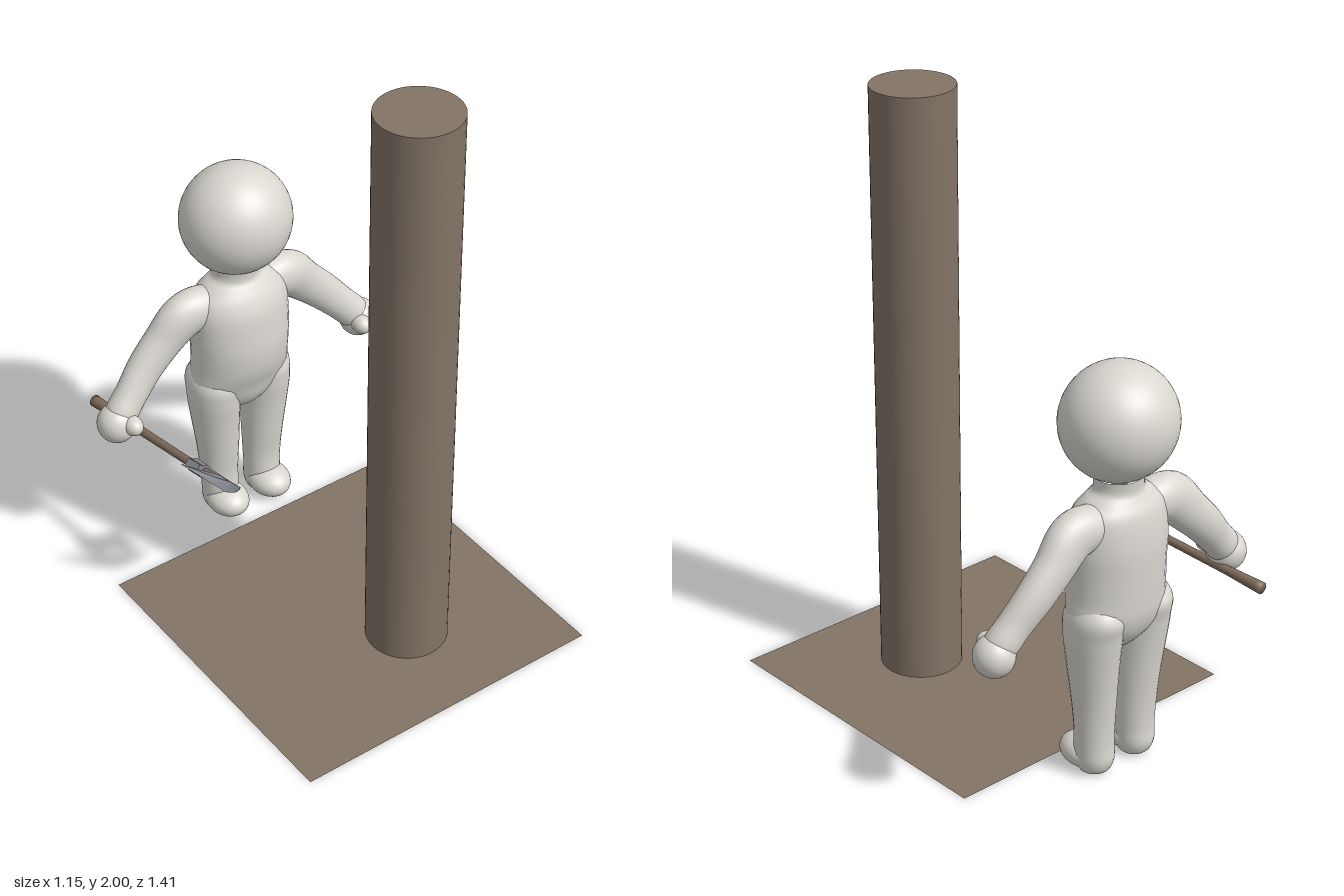
import * as THREE from 'three';

const mat = (name, color, side = THREE.FrontSide) => {
  const m = new THREE.MeshStandardMaterial({ color, side });
  m.name = name;
  return m;
};

// Smooth skin through rows of [x, y, z, side radius, depth radius]
function loft(rows, steps = 5, n = 28) {
  const fine = [];
  const at = i => rows[Math.min(rows.length - 1, Math.max(0, i))];
  for (let i = 0; i < rows.length - 1; i++) {
    const [a, b, c, d] = [at(i - 1), at(i), at(i + 1), at(i + 2)];
    for (let k = 0; k < steps; k++) {
      const t = k / steps;
      fine.push(b.map((v, q) => {
        const r = 0.5 * (2 * v + (c[q] - a[q]) * t + (2 * a[q] - 5 * v + 4 * c[q] - d[q]) * t * t
          + (3 * v - a[q] - 3 * c[q] + d[q]) * t * t * t);
        return q > 2 ? Math.max(r, 0.001) : r;
      }));
    }
  }
  fine.push(rows[rows.length - 1]);
  const pos = [], idx = [];
  fine.forEach(([x, y, z, ru, rv], i) => {
    const p = fine[Math.max(0, i - 1)], q = fine[Math.min(fine.length - 1, i + 1)];
    const dx = q[0] - p[0], dy = q[1] - p[1], l = Math.hypot(dx, dy) || 1;
    for (let j = 0; j < n; j++) {
      const a = j / n * Math.PI * 2, c = Math.cos(a) * ru;
      pos.push(x + dy / l * c, y - dx / l * c, z + Math.sin(a) * rv);
      if (i < fine.length - 1) {
        const k = i * n + j, m = i * n + (j + 1) % n;
        idx.push(k, k + n, m, m, k + n, m + n);
      }
    }
  });
  const g = new THREE.BufferGeometry();
  g.setAttribute('position', new THREE.Float32BufferAttribute(pos, 3));
  g.setIndex(idx);
  g.computeVertexNormals();
  return g;
}

export function createModel() {
  const model = new THREE.Group();
  const skin = mat('pale grey', 0xdad7d0);
  const bark = mat('bark brown', 0x837567);
  const ground = mat('ground brown', 0x837567, THREE.DoubleSide);
  const wood = mat('handle brown', 0x7d6a59);
  const steel = mat('steel grey', 0x868a91, THREE.DoubleSide);
  const add = (parent, name, geo, material, x = 0, y = 0, z = 0) => {
    const m = new THREE.Mesh(geo, material);
    m.name = name;
    m.position.set(x, y, z);
    parent.add(m);
    return m;
  };
  const ball = (parent, name, x, y, z, rx, ry, rz) =>
    add(parent, name, new THREE.SphereGeometry(1, 40, 28), skin, x, y, z).scale.set(rx, ry, rz);

  // Ground sheet and tree trunk
  add(model, 'ground', new THREE.PlaneGeometry(1.09, 1.09).rotateX(-Math.PI / 2), ground, -0.03, 0, 0.16);
  add(model, 'trunk', new THREE.CylinderGeometry(0.135, 0.135, 2, 48), bark, 0.07, 1, 0.345);

  // Figure
  const figure = new THREE.Group();
  figure.name = 'figure';
  figure.position.x = 0.02;
  model.add(figure);
  ball(figure, 'head', 0, 1.17, -0.52, 0.187, 0.186, 0.18);

  // Torso rows: height, half width, front z, back z
  add(figure, 'torso', loft([
    [0.42, 0.002, -0.52, -0.55], [0.44, 0.06, -0.47, -0.58], [0.49, 0.135, -0.435, -0.62],
    [0.55, 0.178, -0.415, -0.642], [0.62, 0.174, -0.39, -0.648], [0.70, 0.175, -0.38, -0.65],
    [0.78, 0.178, -0.385, -0.65], [0.85, 0.175, -0.395, -0.642], [0.90, 0.16, -0.415, -0.63],
    [0.935, 0.12, -0.437, -0.61], [0.96, 0.085, -0.452, -0.598], [1.0, 0.08, -0.45, -0.60],
  ].map(([y, w, f, b]) => [0, y, (f + b) / 2, w, (f - b) / 2])), skin);

  for (const s of [1, -1]) {
    const side = s > 0 ? 'left' : 'right';
    // Arm, hand and thumb
    add(figure, side + 'Arm', loft([
      [0.05, 0.89, -0.53, 0.035, 0.04], [0.12, 0.872, -0.533, 0.068, 0.064], [0.205, 0.855, -0.535, 0.08, 0.064],
      [0.28, 0.785, -0.542, 0.07, 0.057], [0.355, 0.711, -0.54, 0.064, 0.053],
      [0.42, 0.64, -0.527, 0.058, 0.05], [0.47, 0.585, -0.518, 0.055, 0.052], [0.5, 0.55, -0.515, 0.03, 0.03],
    ].map(([x, ...r]) => [s * x, ...r])), skin);
    ball(figure, side + 'Hand', s * 0.487, 0.56, -0.515, 0.065, 0.067, 0.066);
    ball(figure, side + 'Thumb', s * 0.46, 0.572, -0.46, 0.032, 0.032, 0.042);

    // Leg rows: height, centre offset, half width, front z, back z
    add(figure, side + 'Leg', loft([
      [0.0, 0.085, 0.03, -0.50, -0.56], [0.015, 0.085, 0.052, -0.48, -0.58], [0.05, 0.086, 0.062, -0.465, -0.593],
      [0.10, 0.087, 0.064, -0.465, -0.59], [0.17, 0.088, 0.067, -0.467, -0.591], [0.28, 0.091, 0.073, -0.455, -0.60],
      [0.40, 0.097, 0.082, -0.442, -0.614], [0.50, 0.10, 0.088, -0.43, -0.628], [0.57, 0.098, 0.083, -0.435, -0.635],
      [0.64, 0.09, 0.04, -0.50, -0.57],
    ].map(([y, x, w, f, b]) => [s * x, y, (f + b) / 2, w, (f - b) / 2])), skin);
    ball(figure, side + 'Foot', s * 0.087, 0.055, -0.485, 0.07, 0.053, 0.086);
  }

  // Axe frame: local y runs along the handle, local x towards the blade
  const axe = new THREE.Group();
  axe.name = 'axe';
  const d = new THREE.Vector3(0.068, 0.062, 0.66).normalize();
  const b = new THREE.Vector3(0.72, -0.69, 0).addScaledVector(d, -d.dot(new THREE.Vector3(0.72, -0.69, 0))).normalize();
  axe.quaternion.setFromRotationMatrix(new THREE.Matrix4().makeBasis(b, d, b.clone().cross(d)));
  axe.position.set(-0.435, 0.512, -0.705);
  model.add(axe);
  add(axe, 'handle', new THREE.LatheGeometry(
    [[0, 0], [0.02, 0], [0.0195, 0.02], [0.015, 0.14], [0.014, 0.4], [0.014, 0.65], [0, 0.65]]
      .map(p => new THREE.Vector2(...p)), 20), wood);

  // Flat steel pieces, thinned away from the handle
  const plate = (shape, depth, reach) => {
    const g = new THREE.ExtrudeGeometry(shape, { depth, bevelEnabled: false, curveSegments: 16 }).translate(0, 0, -depth / 2);
    const p = g.attributes.position;
    for (let i = 0; i < p.count; i++)
      p.setZ(i, p.getZ(i) * Math.max(0.08, 1 - Math.abs(p.getX(i)) / reach));
    g.computeVertexNormals();
    return g;
  };
  const pick = new THREE.Shape();
  pick.moveTo(-0.152, 0.605);
  pick.quadraticCurveTo(-0.075, 0.635, 0, 0.632);
  pick.quadraticCurveTo(0.075, 0.635, 0.152, 0.605);
  pick.quadraticCurveTo(0.07, 0.682, 0, 0.688);
  pick.quadraticCurveTo(-0.07, 0.682, -0.152, 0.605);
  add(axe, 'pickHead', plate(pick, 0.036, 0.16), steel);

  const blade = new THREE.Shape();
  blade.moveTo(-0.035, 0.515);
  blade.lineTo(0.02, 0.515);
  blade.quadraticCurveTo(0.06, 0.505, 0.12, 0.46);
  blade.quadraticCurveTo(0.135, 0.535, 0.118, 0.606);
  blade.quadraticCurveTo(0.06, 0.575, 0.02, 0.572);
  blade.lineTo(-0.035, 0.572);
  add(axe, 'axeBlade', plate(blade, 0.04, 0.135), steel);
  add(axe, 'axeCollar', new THREE.CylinderGeometry(0.023, 0.023, 0.057, 20), steel, 0, 0.543, 0);
  return model;
}
